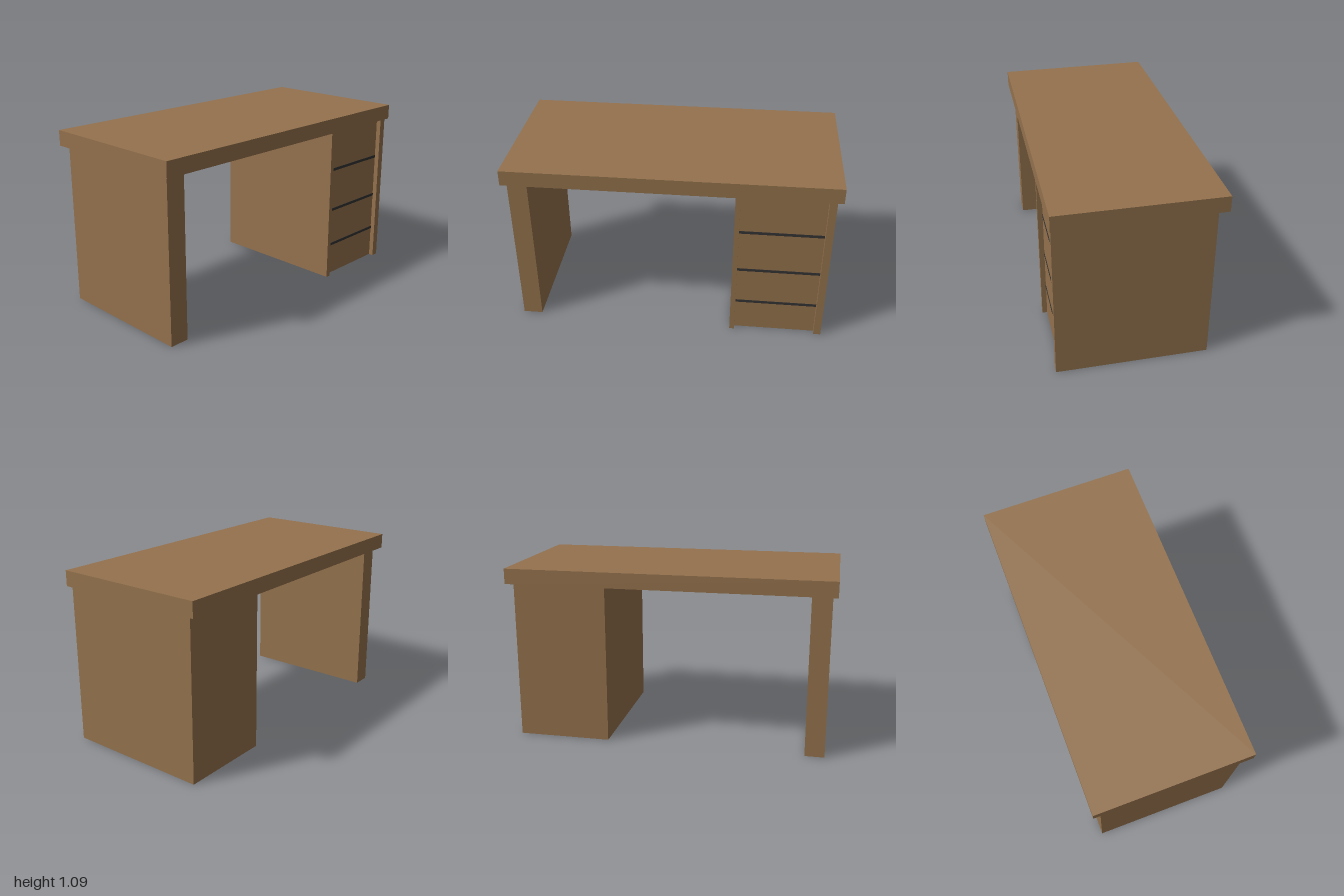
import * as THREE from 'three';

const wood = new THREE.MeshStandardMaterial({ color: 0x94724d, side: THREE.DoubleSide });
wood.name = 'wood brown';
const dark = new THREE.MeshStandardMaterial({ color: 0x333333 });
dark.name = 'dark grey';

const LEG_TOP = 0.995;

// Upright hollow shell, open at top and bottom; outline is [x, z] corners
// listed so that the walls face outward.
function shell(name, outline) {
  const pos = [];
  outline.forEach(([x0, z0], i) => {
    const [x1, z1] = outline[(i + 1) % outline.length];
    pos.push(x0, 0, z0, x1, 0, z1, x1, LEG_TOP, z1);
    pos.push(x0, 0, z0, x1, LEG_TOP, z1, x0, LEG_TOP, z0);
  });
  const geo = new THREE.BufferGeometry();
  geo.setAttribute('position', new THREE.Float32BufferAttribute(pos, 3));
  geo.computeVertexNormals();
  const mesh = new THREE.Mesh(geo, wood);
  mesh.name = name;
  return mesh;
}

function box(name, material, [x0, x1], [y0, y1], [z0, z1]) {
  const mesh = new THREE.Mesh(new THREE.BoxGeometry(x1 - x0, y1 - y0, z1 - z0), material);
  mesh.position.set((x0 + x1) / 2, (y0 + y1) / 2, (z0 + z1) / 2);
  mesh.name = name;
  return mesh;
}

export function createModel() {
  const desk = new THREE.Group();
  desk.name = 'desk';

  // Thick top board
  desk.add(box('desktop', wood, [-1, 1], [LEG_TOP, 1.09], [-0.487, 0.487]));

  // Plain panel leg
  desk.add(shell('panelLeg', [[-0.97, 0.45], [-0.85, 0.45], [-0.85, -0.436], [-0.97, -0.436]]));

  // Drawer pedestal with its front recessed between two stiles
  desk.add(shell('drawerPedestal', [
    [0.385, 0.48], [0.415, 0.48], [0.415, 0.45], [0.92, 0.45],
    [0.92, 0.48], [0.965, 0.48], [0.965, -0.436], [0.385, -0.436],
  ]));

  // Dark gaps between the four drawers
  [0.21, 0.457, 0.735].forEach((y, i) => {
    desk.add(box(`drawerGap${i + 1}`, dark, [0.415, 0.92], [y - 0.009, y + 0.009], [0.32, 0.452]));
  });

  return desk;
}
